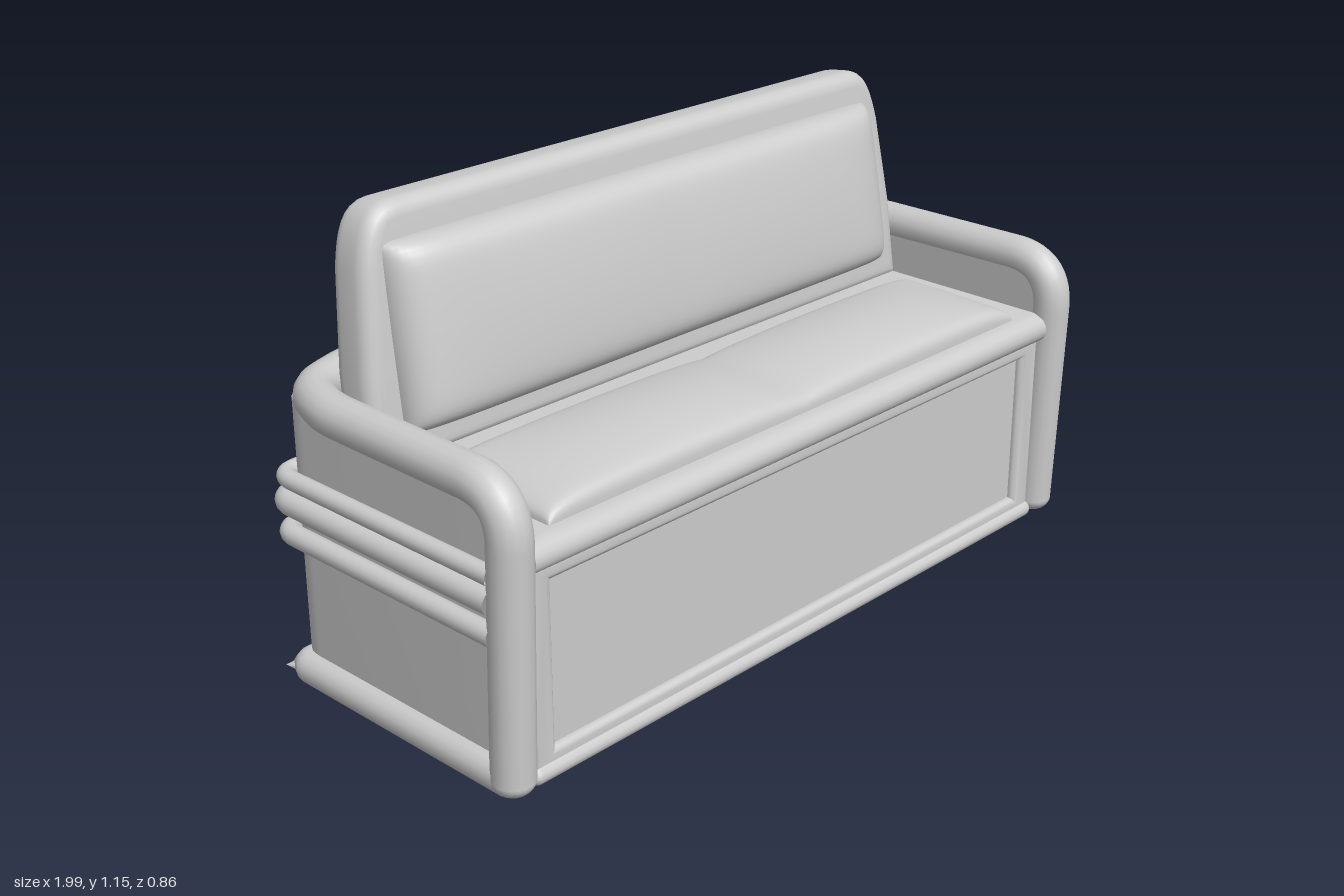
import * as THREE from 'three';
import { toCreasedNormals, mergeVertices } from 'three/addons/utils/BufferGeometryUtils.js';

const material = new THREE.MeshStandardMaterial({ color: 0xcccccc });
const doubleSided = new THREE.MeshStandardMaterial({ color: 0xcccccc, side: THREE.DoubleSide });

function part(name, geometry, mat = material) {
  const mesh = new THREE.Mesh(geometry, mat);
  mesh.name = name;
  return mesh;
}

// Straight runs joined by curved corners; each corner is [x, y, z, radius]
function roundedPath(corners) {
  const path = new THREE.CurvePath();
  const pts = corners.map(c => new THREE.Vector3(c[0], c[1], c[2]));
  let from = pts[0];
  for (let i = 1; i < pts.length - 1; i++) {
    const r = corners[i][3];
    const a = pts[i].clone().add(pts[i - 1].clone().sub(pts[i]).setLength(r));
    const b = pts[i].clone().add(pts[i + 1].clone().sub(pts[i]).setLength(r));
    path.add(new THREE.LineCurve3(from, a));
    path.add(new THREE.QuadraticBezierCurve3(a, pts[i], b));
    from = b;
  }
  path.add(new THREE.LineCurve3(from, pts[pts.length - 1]));
  return path;
}

// Tube that runs along the right half and continues mirrored on the left
function wrapTube(name, half, radius) {
  const mirrored = half.map(([x, y, z, r]) => [-x, y, z, r]).reverse();
  return part(name, new THREE.TubeGeometry(roundedPath([...half, ...mirrored]), 300, radius, 16));
}

function extrude(shape, depth, bevel = 0) {
  const geo = new THREE.ExtrudeGeometry(shape, {
    depth: depth - 2 * bevel, curveSegments: 8, bevelEnabled: bevel > 0,
    bevelSize: bevel, bevelThickness: bevel, bevelOffset: -bevel, bevelSegments: 5,
  });
  geo.translate(0, 0, bevel - depth / 2);
  return toCreasedNormals(geo, 0.6);
}

function rectangle(Type, x, y0, y1) {
  return new Type([[-x, y0], [x, y0], [x, y1], [-x, y1]].map(p => new THREE.Vector2(...p)));
}

// Puffed sheet facing +z: steep rounded rim, gentle dome, soft crease in the middle
function pillow(width, height, rise, dome, dip, roundness) {
  let geo = new THREE.PlaneGeometry(2, 2, 56, 32);
  geo.deleteAttribute('uv');
  const p = geo.attributes.position;
  for (let i = 0; i < p.count; i++) {
    const u = Math.sin(p.getX(i) * Math.PI / 2);
    const v = Math.sin(p.getY(i) * Math.PI / 2);
    const rim = Math.pow(Math.max(0, (1 - u ** 16) * (1 - v ** roundness)), 0.4);
    const crown = dome * (1 - u ** 4) * (1 - v * v);
    const crease = dip * Math.exp(-Math.abs(u) / 0.16) * (1 - v * v * 0.5);
    p.setXYZ(i, u * width / 2, v * height / 2, rim * (rise + crown - crease));
  }
  geo = mergeVertices(geo);
  geo.computeVertexNormals();
  return geo;
}

export function createModel() {
  const sofa = new THREE.Group();
  sofa.name = 'sofa';

  // Padded rail: front posts, arm tops and back in one run
  sofa.add(wrapTube('armRail', [
    [0.939, 0.05, 0.362],
    [0.939, 0.715, 0.382, 0.12],
    [0.937, 0.715, -0.21, 0.06],
    [0.89, 0.715, -0.325, 0.06],
    [0.74, 0.714, -0.383, 0.08],
  ], 0.05));

  // Base rail with tight, pointed rear corners
  sofa.add(wrapTube('baseRail', [
    [0.945, 0.049, 0.365],
    [0.945, 0.043, -0.34, 0.02],
  ], 0.04));
  for (const side of [-1, 1]) {
    const foot = part('postFoot', new THREE.SphereGeometry(0.05, 18, 12));
    foot.scale.y = 0.75;
    foot.position.set(side * 0.939, 0.05, 0.362);
    sofa.add(foot);
    const tip = part('baseRailTip', new THREE.ConeGeometry(0.042, 0.08, 12));
    tip.rotation.set(-Math.PI / 2, -side * Math.PI / 4, 0, 'YXZ');
    tip.position.set(side * 0.952, 0.042, -0.348);
    sofa.add(tip);
  }

  // Three ribs around the sides and back, standing out a little more on the right
  for (const [y, r] of [[0.53, 0.022], [0.472, 0.03], [0.393, 0.025]]) {
    const rib = wrapTube('sideRib', [
      [0.955, y, 0.35],
      [0.96, y, -0.358, 0.05],
    ], r);
    rib.position.x = -0.01;
    sofa.add(rib);
  }

  // Shell wall, U-shaped in plan
  const plan = new THREE.Shape();
  plan.moveTo(0.945, -0.36);
  plan.lineTo(0.945, 0.29);
  plan.quadraticCurveTo(0.945, 0.368, 0.86, 0.368);
  plan.lineTo(-0.86, 0.368);
  plan.quadraticCurveTo(-0.945, 0.368, -0.945, 0.29);
  plan.lineTo(-0.945, -0.36);
  plan.lineTo(-0.895, -0.36);
  plan.lineTo(-0.895, 0.335);
  plan.lineTo(0.895, 0.335);
  plan.lineTo(0.895, -0.36);
  const wall = part('shellWall', extrude(plan, 0.67));
  wall.rotation.x = -Math.PI / 2;
  wall.position.y = 0.375;
  sofa.add(wall);

  // Base box with a soft-edged frame around the recessed front panel
  const base = part('baseBox', new THREE.BoxGeometry(1.8, 0.53, 0.7));
  base.position.set(0, 0.285, 0.01);
  sofa.add(base);
  const frame = rectangle(THREE.Shape, 0.9, 0.03, 0.53);
  frame.holes.push(rectangle(THREE.Path, 0.825, 0.082, 0.477));
  const frontFrame = part('frontFrame', extrude(frame, 0.044, 0.02));
  frontFrame.position.z = 0.356;
  sofa.add(frontFrame);
  const kick = part('frontBottomRail', new THREE.CapsuleGeometry(0.022, 1.76, 6, 12));
  kick.rotation.z = Math.PI / 2;
  kick.position.set(0, 0.033, 0.37);
  sofa.add(kick);

  // Seat slab with rounded nose: side profile, turned so its length runs along z
  const profile = new THREE.Shape();
  profile.moveTo(-0.33, 0.515);
  profile.lineTo(0.37, 0.515);
  profile.bezierCurveTo(0.415, 0.515, 0.415, 0.585, 0.36, 0.588);
  profile.lineTo(-0.33, 0.592);
  const seat = part('seat', extrude(profile, 1.785));
  seat.rotation.y = -Math.PI / 2;
  sofa.add(seat);

  const seatCushion = part('seatCushion', pillow(1.62, 0.345, 0.045, 0.03, 0.025, 16), doubleSided);
  seatCushion.rotation.x = -Math.PI / 2 + 0.03;
  seatCushion.position.set(0, 0.591, 0.18);
  sofa.add(seatCushion);

  // Leaning backrest
  const outline = new THREE.Shape();
  outline.moveTo(-0.9, -0.3);
  outline.lineTo(0.9, -0.3);
  outline.lineTo(0.893, -0.08);
  outline.lineTo(0.865, 0.15);
  outline.bezierCurveTo(0.85, 0.22, 0.83, 0.285, 0.76, 0.285);
  outline.lineTo(-0.76, 0.285);
  outline.bezierCurveTo(-0.83, 0.285, -0.85, 0.22, -0.865, 0.15);
  outline.lineTo(-0.893, -0.08);
  const backrest = part('backrest', extrude(outline, 0.128, 0.038));
  backrest.rotation.x = -0.12;
  backrest.position.set(0.008, 0.868, -0.193);
  sofa.add(backrest);

  const backCushion = part('backCushion', pillow(1.62, 0.43, 0.098, 0.02, 0.006, 10), doubleSided);
  backCushion.rotation.x = -0.18;
  backCushion.position.set(0, 0.86, -0.149);
  sofa.add(backCushion);

  return sofa;
}
